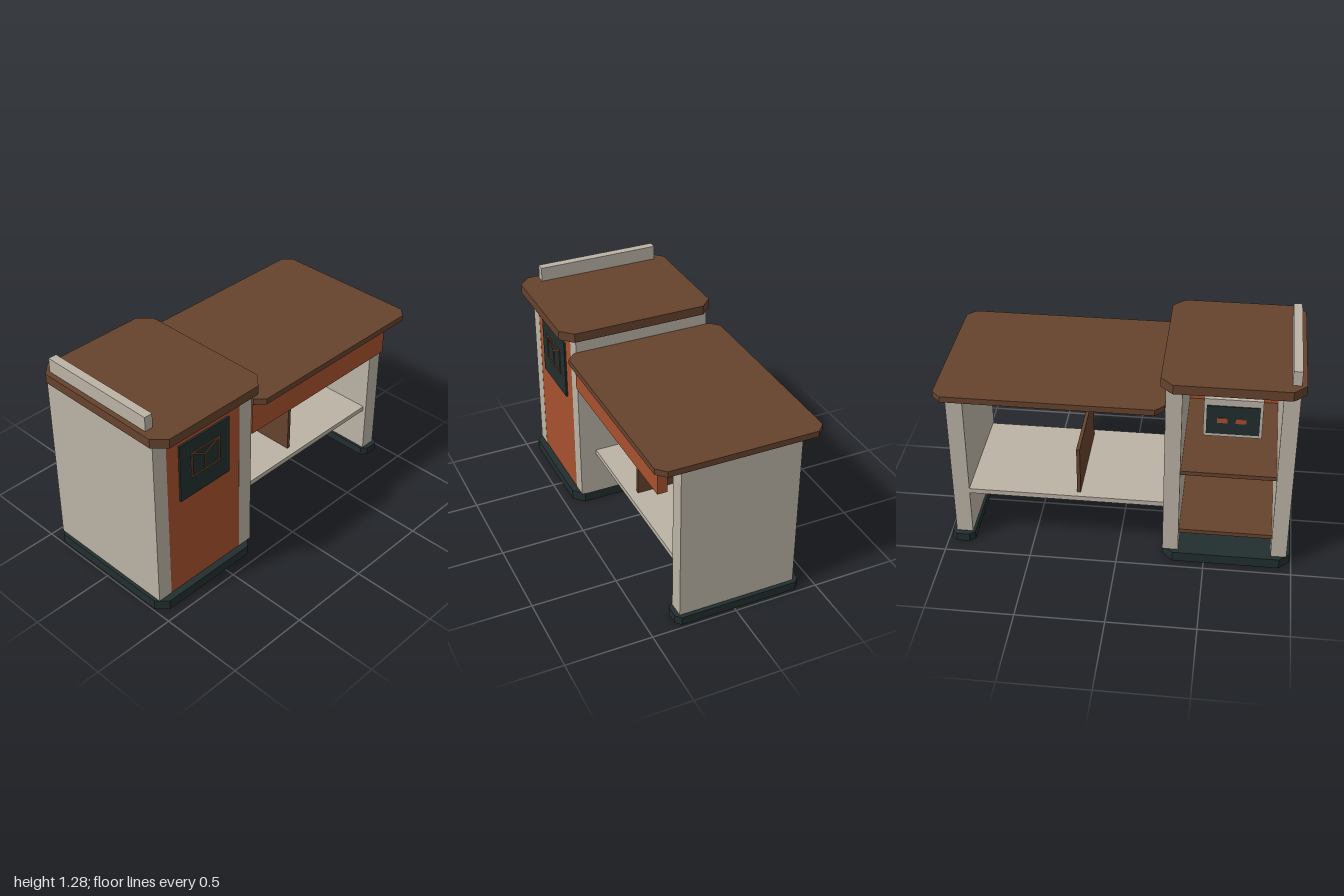
import * as THREE from 'three';

const paint = (name, color) => {
  const m = new THREE.MeshStandardMaterial({ color });
  m.name = name;
  return m;
};

export function createModel() {
  const beige = paint('beige laminate', 0xbbb3a5);
  const wood = paint('brown wood', 0x65422d);
  const orange = paint('burnt orange', 0xa6502e);
  const dark = paint('dark slate', 0x222e2e);

  const group = new THREE.Group();
  group.name = 'counterDesk';

  const add = (name, geometry, material) => {
    const mesh = new THREE.Mesh(geometry, material);
    mesh.name = name;
    group.add(mesh);
    return mesh;
  };

  // Plain box given by its limits on each axis
  const box = (name, material, [x0, x1], [y0, y1], [z0, z1]) => {
    const g = new THREE.BoxGeometry(x1 - x0, y1 - y0, z1 - z0);
    g.translate((x0 + x1) / 2, (y0 + y1) / 2, (z0 + z1) / 2);
    return add(name, g, material);
  };

  // Horizontal slab with four cut corners
  const slab = (name, material, [x0, x1], [y0, y1], [z0, z1], c) => {
    const outline = [
      [x0 + c, z1], [x1 - c, z1], [x1, z1 - c], [x1, z0 + c],
      [x1 - c, z0], [x0 + c, z0], [x0, z0 + c], [x0, z1 - c],
    ].map(([x, z]) => new THREE.Vector2(x, -z));
    const g = new THREE.ExtrudeGeometry(new THREE.Shape(outline), { depth: y1 - y0, bevelEnabled: false });
    g.rotateX(-Math.PI / 2);
    g.translate(0, y0, 0);
    return add(name, g, material);
  };

  // Cabinet shell, open at the back
  slab('cabinetPlinth', dark, [-0.99, -0.26], [0, 0.06], [-0.45, 0.44], 0.06);
  box('cabinetRightWall', beige, [-0.97, -0.88], [0.06, 1.14], [-0.42, 0.4]);
  box('cabinetLeftWall', beige, [-0.35, -0.26], [0.06, 1.14], [-0.42, 0.4]);
  box('cabinetFrontPanel', orange, [-0.88, -0.35], [0.06, 1.14], [0.36, 0.399]);
  slab('cabinetTop', wood, [-1, -0.23], [1.14, 1.195], [-0.455, 0.485], 0.07);
  box('cabinetTopRail', beige, [-0.97, -0.92], [1.195, 1.28], [-0.385, 0.355]);
  for (const y of [0.16, 0.57]) {
    box('cabinetShelf', wood, [-0.88, -0.35], [y, y + 0.025], [-0.388, 0.36]);
  }

  // Front plate with a line ornament of thin strips
  box('frontPlate', dark, [-0.797, -0.435], [0.667, 1.03], [0.399, 0.41]);
  const strip = ([xa, ya], [xb, yb]) => {
    const w = 0.011;
    const g = new THREE.BoxGeometry(Math.hypot(xb - xa, yb - ya) + w, w, 0.005);
    g.rotateZ(Math.atan2(yb - ya, xb - xa));
    g.translate((xa + xb) / 2, (ya + yb) / 2, 0.4125);
    add('ornamentStrip', g, wood);
  };
  const bl = [-0.713, 0.79], br = [-0.515, 0.79], tr = [-0.515, 0.945], tl = [-0.713, 0.945];
  const mid = [-0.614, 0.888], low = [-0.614, 0.79];
  for (const [a, b] of [[bl, br], [br, tr], [tr, tl], [tl, bl], [tl, mid], [mid, tr], [mid, low]]) strip(a, b);

  // Socket unit at the back
  box('socketHousing', beige, [-0.78, -0.465], [0.865, 1.1], [-0.415, -0.37]);
  box('socketPlate', dark, [-0.765, -0.48], [0.885, 1.06], [-0.421, -0.415]);
  for (const x of [-0.665, -0.565]) {
    box('socket', orange, [x - 0.028, x + 0.028], [0.957, 0.987], [-0.425, -0.421]);
  }

  // Desk
  slab('deskTop', wood, [-0.26, 1], [1.02, 1.055], [-0.49, 0.465], 0.05);
  box('deskApron', orange, [-0.26, 0.86], [0.82, 1.02], [0.352, 0.408]);
  box('deskLeg', beige, [0.86, 0.955], [0.05, 1.02], [-0.375, 0.32]);
  slab('deskFoot', dark, [0.845, 0.98], [0, 0.05], [-0.41, 0.347], 0.03);
  box('deskShelf', beige, [-0.26, 0.86], [0.33, 0.36], [-0.375, 0.3]);
  box('shelfDivider', wood, [0.22, 0.24], [0.36, 0.655], [-0.335, 0.245]);

  return group;
}
